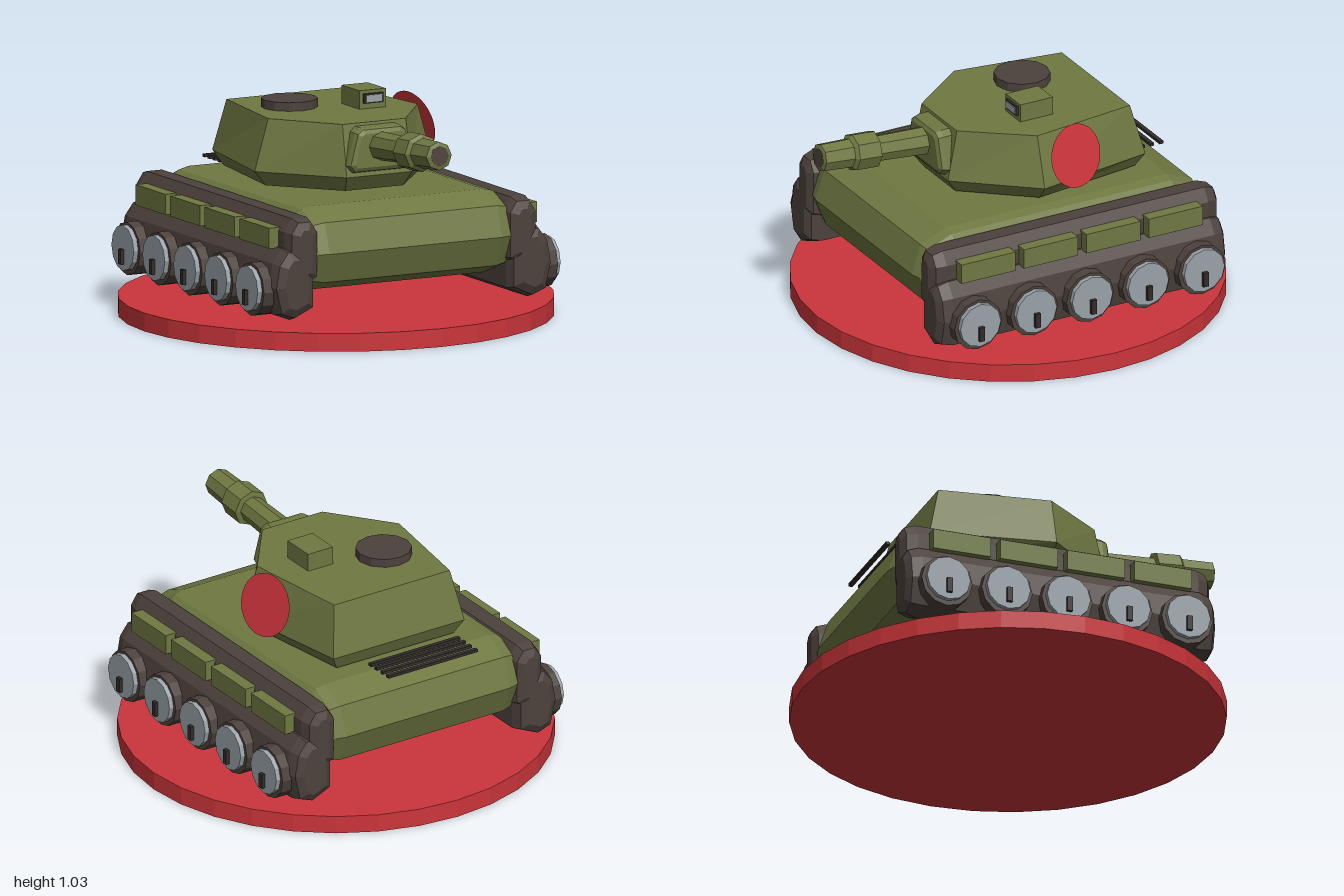
import * as THREE from 'three';

const mat = (name, color, side = THREE.FrontSide) => {
  const m = new THREE.MeshStandardMaterial({ color, flatShading: true, side });
  m.name = name;
  return m;
};

export function createModel() {
  const model = new THREE.Group();
  model.name = 'toyTank';
  const green = mat('olive green', 0x6f7842);
  const brown = mat('dark brown', 0x4d423d);
  const black = mat('charcoal', 0x332c2b);
  const grey = mat('wheel grey', 0x9aa3a9);
  const red = mat('red', 0xcc353b, THREE.DoubleSide);

  const add = (name, geo, material, x = 0, y = 0, z = 0, parent = model) => {
    const m = new THREE.Mesh(geo, material);
    m.name = name;
    m.position.set(x, y, z);
    parent.add(m);
    return m;
  };
  const box = (w, h, d) => new THREE.BoxGeometry(w, h, d);

  // Centred extrusion whose bevel stays inside the given outline
  const bevelled = (pts, length, bevel, thick, segments = 2) => {
    const shape = new THREE.Shape(pts.map(([x, y]) => new THREE.Vector2(x, y)));
    const geo = new THREE.ExtrudeGeometry(shape, {
      depth: length - 2 * thick, bevelEnabled: true, bevelSize: bevel,
      bevelOffset: -bevel, bevelThickness: thick, bevelSegments: segments,
    });
    return geo.translate(0, 0, thick - length / 2);
  };

  // Closed solid through horizontal rings given as { y, pts: [x, z] }
  const loft = (rings) => {
    const n = rings[0].pts.length, pos = [], idx = [];
    rings.forEach((r) => r.pts.forEach(([x, z]) => pos.push(x, r.y, z)));
    for (let k = 0; k < rings.length - 1; k++) {
      for (let i = 0; i < n; i++) {
        const a = k * n + i, b = k * n + (i + 1) % n;
        idx.push(a, b, b + n, a, b + n, a + n);
      }
    }
    const top = (rings.length - 1) * n;
    for (let i = 1; i < n - 1; i++) idx.push(0, i + 1, i, top, top + i, top + i + 1);
    const geo = new THREE.BufferGeometry();
    geo.setAttribute('position', new THREE.Float32BufferAttribute(pos, 3));
    geo.setIndex(idx);
    geo.computeVertexNormals();
    return geo;
  };

  // Round stand
  add('stand', new THREE.CylinderGeometry(1, 1, 0.085, 32), red, 0, 0.0425, 0);

  // Hull: side profile stretched across the width
  const half = [[0.58, 0.24], [0.7, 0.29], [0.757, 0.43], [0.71, 0.57], [0.58, 0.627]];
  const profile = [...half, ...half.map(([z, y]) => [-z, y]).reverse()];
  add('hull', bevelled(profile, 1.1, 0.09, 0.1, 3).rotateY(Math.PI / 2), green);

  // Rear vents
  [-0.7, -0.652, -0.604, -0.556].forEach((z) =>
    add('vent', box(0.49, 0.014, 0.02), black, -0.06, 0.643, z));

  // Running gear on both sides
  const upper = [[0.49, 0.32], [0.49, 0.54], [0.53, 0.6], [0.61, 0.6],
    [0.65, 0.54], [0.65, 0.36], [0.6, 0.3], [0.53, 0.3]];
  const lower = [[0.51, 0.18], [0.51, 0.41], [0.56, 0.465], [0.66, 0.465],
    [0.71, 0.4], [0.73, 0.29], [0.7, 0.16], [0.62, 0.13]];
  for (const s of [1, -1]) {
    const side = new THREE.Group();
    side.name = s > 0 ? 'leftTrack' : 'rightTrack';
    model.add(side);
    const mirrored = (pts) => pts.map(([x, y]) => [s * x, y]);
    add('upperTrack', bevelled(mirrored(upper), 1.51, 0.05, 0.07), brown, 0, 0, 0, side);
    add('lowerTrack', bevelled(mirrored(lower), 1.51, 0.05, 0.07), brown, 0, 0, 0, side);
    for (let i = 0; i < 5; i++) {
      const z = (i - 2) * 0.293;
      const disc = (r, w) => new THREE.CylinderGeometry(r, r, w, 12).rotateZ(Math.PI / 2);
      add('tyre', disc(0.124, 0.11), brown, s * 0.712, 0.27, z, side);
      add('wheelDisc', disc(0.106, 0.03), grey, s * 0.775, 0.275, z, side);
      add('wheelBolt', box(0.025, 0.07, 0.026), black, s * 0.795, 0.235, z, side);
    }
    for (let i = 0; i < 4; i++) {
      add('sidePlate', box(0.065, 0.095, 0.282), green, s * 0.667, 0.507, 0.494 - i * 0.327, side);
    }
  }

  // Turret: six-sided plan, widest just above its foot
  const plan = (x1, z1, x2, z2, x3, z3) =>
    [[-x1, z1], [x1, z1], [x2, z2], [x3, z3], [-x3, z3], [-x2, z2]];
  add('turret', loft([
    { y: 0.635, pts: plan(0.15, 0.36, 0.4, 0.06, 0.32, -0.485) },
    { y: 0.705, pts: plan(0.17, 0.41, 0.46, 0.065, 0.36, -0.518) },
    { y: 0.945, pts: plan(0.165, 0.36, 0.39, 0.065, 0.318, -0.46) },
  ]), green);

  // Gun mount
  const mantlet = [[-0.14, 0.725], [0.14, 0.725], [0.17, 0.76], [0.13, 0.91],
    [0.1, 0.932], [-0.1, 0.932], [-0.13, 0.91], [-0.17, 0.76]];
  add('gunMount', bevelled(mantlet, 0.14, 0.025, 0.035), green, 0, 0, 0.375);

  // Gun, slightly raised
  const gun = new THREE.Group();
  gun.name = 'gun';
  gun.position.set(-0.005, 0.843, 0.42);
  gun.rotation.x = -0.073;
  model.add(gun);
  const barrel = [[0.068, 0], [0.062, 0.28], [0.088, 0.285], [0.088, 0.4],
    [0.07, 0.415], [0.066, 0.565], [0.045, 0.572], [0.045, 0.55]];
  add('barrel', new THREE.LatheGeometry(barrel.map(([r, y]) => new THREE.Vector2(r, y)), 8)
    .rotateX(Math.PI / 2), green, 0, 0, 0, gun);
  add('muzzle', new THREE.CylinderGeometry(0.047, 0.047, 0.03, 8).rotateX(Math.PI / 2),
    brown, 0, 0, 0.557, gun);

  // Roof hatch and periscope
  add('hatch', new THREE.CylinderGeometry(0.13, 0.13, 0.05, 12), brown, -0.155, 0.96, -0.16);
  add('periscope', box(0.137, 0.1, 0.17), green, 0.157, 0.981, -0.023);
  add('periscopeFrame', box(0.1, 0.045, 0.014), black, 0.157, 0.993, 0.066);
  add('periscopeGlass', box(0.082, 0.032, 0.008), grey, 0.157, 0.993, 0.074);

  // Round marking beside the turret
  const badge = add('sideDisc', new THREE.CircleGeometry(0.148, 32), red, 0.455, 0.833, -0.1);
  badge.quaternion.setFromUnitVectors(new THREE.Vector3(0, 0, 1),
    new THREE.Vector3(0.94, 0.25, -0.22).normalize());

  return model;
}
